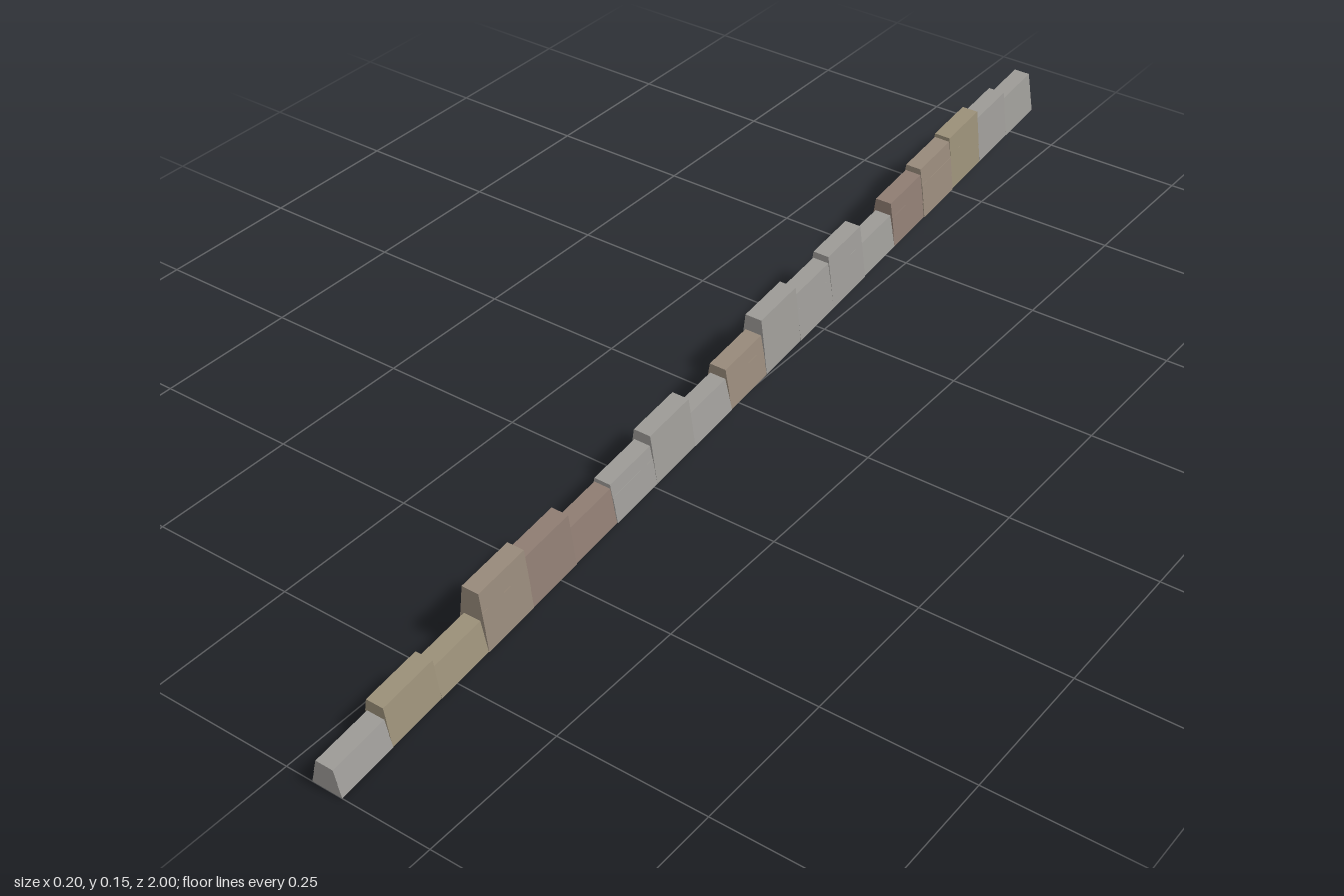
import * as THREE from 'three';

const COUNT = 19, STEP = 2 / COUNT;
// top height of each wall section, from front to back
const TOPS = [0.045, 0.068, 0.058, 0.109, 0.099, 0.076, 0.086, 0.107, 0.08, 0.1,
  0.131, 0.119, 0.134, 0.1, 0.126, 0.14, 0.15, 0.139, 0.129];
// stone colours and which one each section uses
const STONE = { g: 0x9c9a96, t: 0x9a8f78, r: 0x8e7c72, b: 0x97897a };
const TINTS = 'gttbrrgggbggggrbtgg';

const centreX = z => 0.073 * z;       // the wall runs slightly askew
const groundY = z => 0.03 * (1 - z);  // and climbs towards the back

// one course: a box tapered upwards, sheared along the run of the wall
function course(zMid, length, y0, y1, half0, half1) {
  const geo = new THREE.BoxGeometry(2, 1, length);
  const p = geo.attributes.position;
  for (let i = 0; i < p.count; i++) {
    const up = p.getY(i) > 0;
    const z = zMid + p.getZ(i);
    const x = centreX(z) + p.getX(i) * (up ? half1 : half0);
    p.setXYZ(i, x, (up ? y1 : y0) + groundY(z) - groundY(zMid), z);
  }
  geo.computeVertexNormals();
  return geo;
}

export function createModel() {
  const wall = new THREE.Group();
  wall.name = 'stoneWall';
  let seed = 7;
  const rand = () => (seed = (seed * 16807) % 2147483647) / 2147483647;
  rand();

  const materials = {};
  for (const key in STONE) {
    materials[key] = new THREE.MeshStandardMaterial({ color: STONE[key], flatShading: true });
  }

  TOPS.forEach((top, i) => {
    const section = new THREE.Group();
    section.name = 'wallSection' + (i + 1);
    const z = 1 - (i + 0.5) * STEP;
    const base = groundY(z);
    const rows = top - base > 0.06 ? 3 : 2;
    const wide = i === 0 || i === COUNT - 1 ? 0.0265 : 0.025 + rand() * 0.003;
    const half = t => wide + (0.0145 - wide) * t;  // battered sides

    // stacked courses, each a touch proud of the one above
    for (let r = 0; r < rows; r++) {
      const t0 = r / rows, t1 = (r + 1) / rows;
      const proud = r ? rand() * 0.0008 : 0;
      const mesh = new THREE.Mesh(
        course(z, STEP, base + (top - base) * t0, base + (top - base) * t1,
          half(t0) + proud, half(t1) + proud),
        materials[TINTS[i]]);
      mesh.name = 'stoneCourse' + (r + 1);
      section.add(mesh);
    }
    wall.add(section);
  });
  return wall;
}
